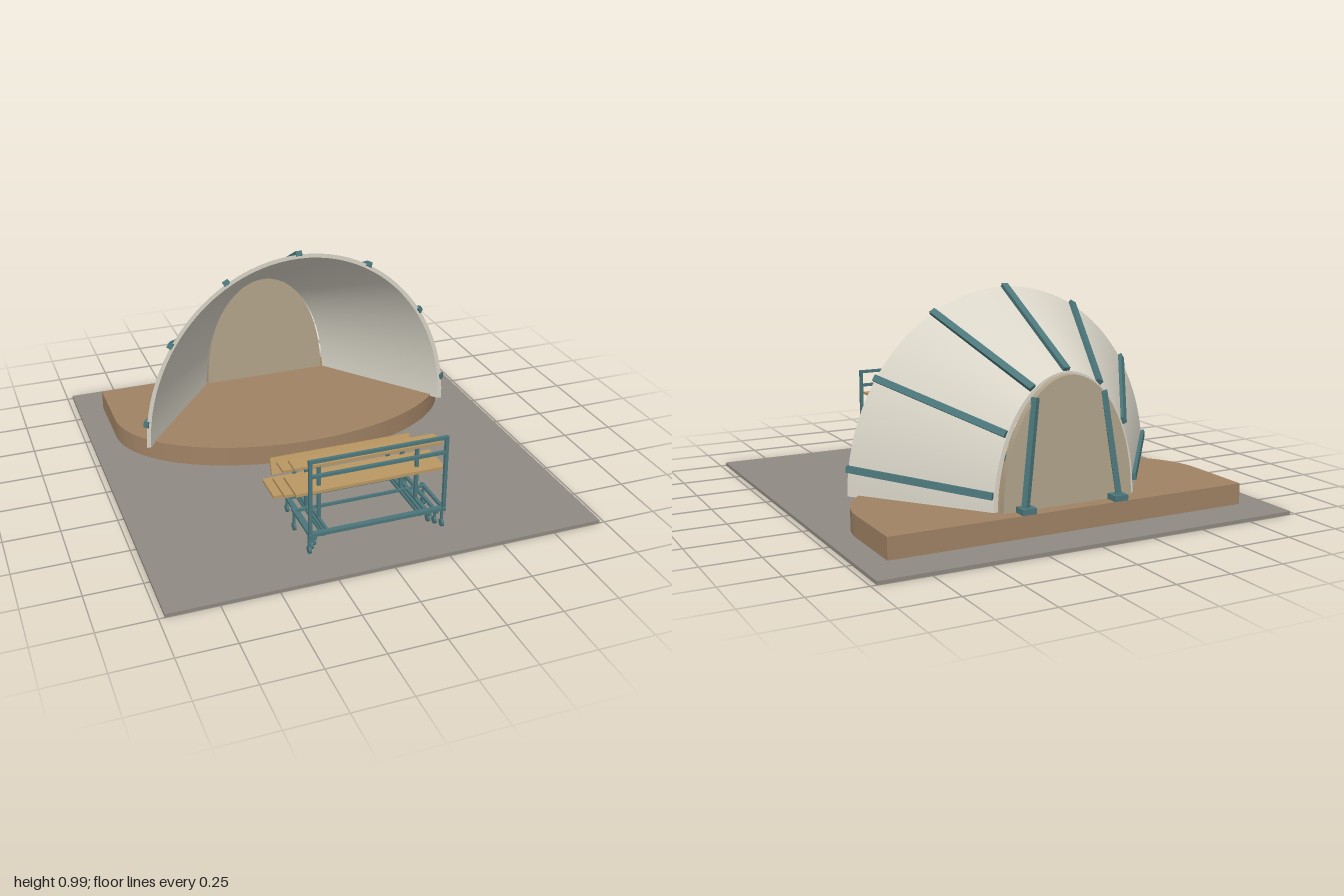
import * as THREE from 'three';

const flat = (name, color, extra = {}) => {
  const m = new THREE.MeshStandardMaterial({ color, ...extra });
  m.name = name;
  return m;
};

export function createModel() {
  const root = new THREE.Group();
  root.name = 'bandstand';
  const paving = flat('paving grey', 0x8f8a82);
  const timber = flat('stage brown', 0xa08264);
  const plaster = flat('shell cream', 0xd9d5c8, { side: THREE.DoubleSide });
  const panelTan = flat('panel tan', 0xb3a58c);
  const steel = flat('steel teal', 0x4c777b);
  const wood = flat('plank wood', 0xba9862);

  const add = (parent, name, geo, mat, x = 0, y = 0, z = 0) => {
    const mesh = new THREE.Mesh(geo, mat);
    mesh.name = name;
    mesh.position.set(x, y, z);
    parent.add(mesh);
    return mesh;
  };
  const box = (parent, name, mat, w, h, d, x, y, z) =>
    add(parent, name, new THREE.BoxGeometry(w, h, d), mat, x, y, z);
  // Square bar between two points; `up` orients its depth axis
  const bar = (parent, name, a, b, w, d = w, up = new THREE.Vector3(0, 1, 0)) => {
    const dir = b.clone().sub(a);
    const mesh = box(parent, name, steel, w, d, dir.length(), 0, 0, 0);
    const zAxis = dir.normalize();
    if (Math.abs(zAxis.dot(up)) > 0.99) up = new THREE.Vector3(0, 0, 1);
    const xAxis = up.clone().cross(zAxis).normalize();
    const yAxis = zAxis.clone().cross(xAxis);
    mesh.quaternion.setFromRotationMatrix(new THREE.Matrix4().makeBasis(xAxis, yAxis, zAxis));
    mesh.position.copy(a).add(b).multiplyScalar(0.5);
    return mesh;
  };
  const v = (x, y, z) => new THREE.Vector3(x, y, z);

  // Ground slab
  box(root, 'ground', paving, 1.95, 0.015, 2, 0, 0.0075, 0);

  // Stage: straight back and sides, half-elliptical front
  const plan = new THREE.Shape();
  plan.moveTo(-0.85, 0.805);
  plan.lineTo(-0.85, 0.48);
  plan.absellipse(0, 0.48, 0.85, 0.53, Math.PI, Math.PI * 2, false);
  plan.lineTo(0.85, 0.805);
  plan.closePath();
  const stageGeo = new THREE.ExtrudeGeometry(plan, { depth: 0.095, bevelEnabled: false, curveSegments: 32 });
  stageGeo.rotateX(-Math.PI / 2);
  add(root, 'stage', stageGeo, timber, 0, 0.015, 0);

  // Shell: tapering half-elliptical vault with thickness
  const FRONT = -0.165, BACK = -0.71, BASE = 0.1;
  const ring = (rx, ry, z) => (t) => v(rx * Math.cos(t), BASE + ry * Math.sin(t), z);
  const outF = ring(0.765, 0.87, FRONT), inF = ring(0.745, 0.85, FRONT);
  const outB = ring(0.34, 0.57, BACK), inB = ring(0.32, 0.55, BACK);
  const strip = (name, p, q, from = 0, to = Math.PI, n = 48) => {
    const pos = [], idx = [];
    for (let i = 0; i <= n; i++) {
      const t = from + (to - from) * i / n;
      pos.push(...p(t).toArray(), ...q(t).toArray());
      if (i < n) idx.push(2 * i, 2 * i + 2, 2 * i + 1, 2 * i + 1, 2 * i + 2, 2 * i + 3);
    }
    const g = new THREE.BufferGeometry();
    g.setAttribute('position', new THREE.Float32BufferAttribute(pos, 3));
    g.setIndex(idx);
    g.computeVertexNormals();
    return add(shell, name, g, plaster);
  };
  const shell = new THREE.Group();
  shell.name = 'shell';
  root.add(shell);
  strip('shellOutside', outF, outB);
  strip('shellInside', inB, inF);
  strip('shellFrontRim', inF, outF);
  strip('shellBackRim', outB, inB);
  for (const t of [0, Math.PI]) { // feet closing the wall thickness
    const mix = (a, b) => (s) => a(t).lerp(b(t), s);
    strip('shellFoot', mix(outF, outB), mix(inF, inB), 0, 1, 1);
  }

  // Seven ribs running along the outside
  for (let i = 0; i < 7; i++) {
    const t = THREE.MathUtils.degToRad(8 + i * 164 / 6);
    const out = v(Math.cos(t) / 0.765, Math.sin(t) / 0.87, 0).normalize();
    const lift = out.clone().multiplyScalar(0.006);
    bar(shell, 'rib', outF(t).add(lift), outB(t).add(lift), 0.03, 0.024, out);
  }

  // Back wall panel
  const arch = new THREE.Shape();
  arch.moveTo(0.31, 0);
  arch.absellipse(0, 0, 0.31, 0.55, 0, Math.PI, false);
  arch.closePath();
  add(root, 'backPanel', new THREE.ExtrudeGeometry(arch, { depth: 0.033, bevelEnabled: false, curveSegments: 40 }),
    panelTan, 0, 0.11, -0.742);

  // Leaning braces with foot plates
  for (const s of [-1, 1]) {
    box(root, 'braceFoot', steel, 0.065, 0.025, 0.06, s * 0.222, 0.1225, -0.775);
    bar(root, 'backBrace', v(s * 0.228, 0.12, -0.775), v(s * 0.165, 0.58, -0.742), 0.025);
  }

  // Three nested rolling bleacher units
  const bleachers = new THREE.Group();
  bleachers.name = 'bleachers';
  root.add(bleachers);
  const units = [
    { x: 0.305, y: 0.11, z0: 0.59, z1: 0.825, wheels: [0.61, 0.8], deck: [0.66, 0.265], post: 0.697, top: 0.365 },
    { x: 0.285, y: 0.083, z0: 0.43, z1: 0.795, wheels: [0.46, 0.77], deck: [0.51, 0.175], post: 0.545, top: 0.272 },
    { x: 0.265, y: 0.06, z0: 0.29, z1: 0.77, wheels: [0.31, 0.745], deck: [0.36, 0.085], post: 0.393, top: 0.2 },
  ];
  units.forEach((u, i) => {
    const g = new THREE.Group();
    g.name = 'bleacherUnit' + (i + 1);
    bleachers.add(g);
    box(g, 'deck', wood, 0.68, 0.014, 0.16, 0, u.deck[1], u.deck[0]);
    for (const z of u.wheels) box(g, 'crossBar', steel, 2 * u.x, 0.012, 0.012, 0, u.y, z);
    for (const s of [-1, 1]) {
      box(g, 'sideBar', steel, 0.014, 0.013, u.z1 - u.z0, s * u.x, u.y, (u.z0 + u.z1) / 2);
      bar(g, 'seatPost', v(s * 0.225, u.y, u.post), v(s * 0.225, u.top, u.post), 0.015);
      box(g, 'postSill', steel, 0.012, 0.012, u.z1 - u.z0 - 0.03, s * 0.225, u.y, (u.z0 + u.z1) / 2);
      for (const z of u.wheels) {
        bar(g, 'casterStem', v(s * u.x, 0.035, z), v(s * u.x, u.y, z), 0.01);
        const wheel = add(g, 'caster', new THREE.CylinderGeometry(0.017, 0.017, 0.012, 14), steel, s * u.x, 0.032, z);
        wheel.rotation.z = Math.PI / 2;
      }
    }
  });
  box(bleachers, 'topSeat', wood, 0.67, 0.012, 0.08, 0, 0.369, 0.665);
  box(bleachers, 'middleSeat', wood, 0.67, 0.012, 0.08, 0, 0.278, 0.515);
  const folded = box(bleachers, 'foldedSeat', wood, 0.67, 0.075, 0.012, 0, 0.215, 0.388);
  folded.rotation.x = -0.35;

  // Guard rail behind the top row
  for (const s of [-1, 1]) box(bleachers, 'railPost', steel, 0.015, 0.36, 0.015, s * 0.305, 0.285, 0.812);
  for (const y of [0.458, 0.388, 0.11]) box(bleachers, 'rail', steel, 0.625, 0.014, 0.014, 0, y, 0.812);

  return root;
}
